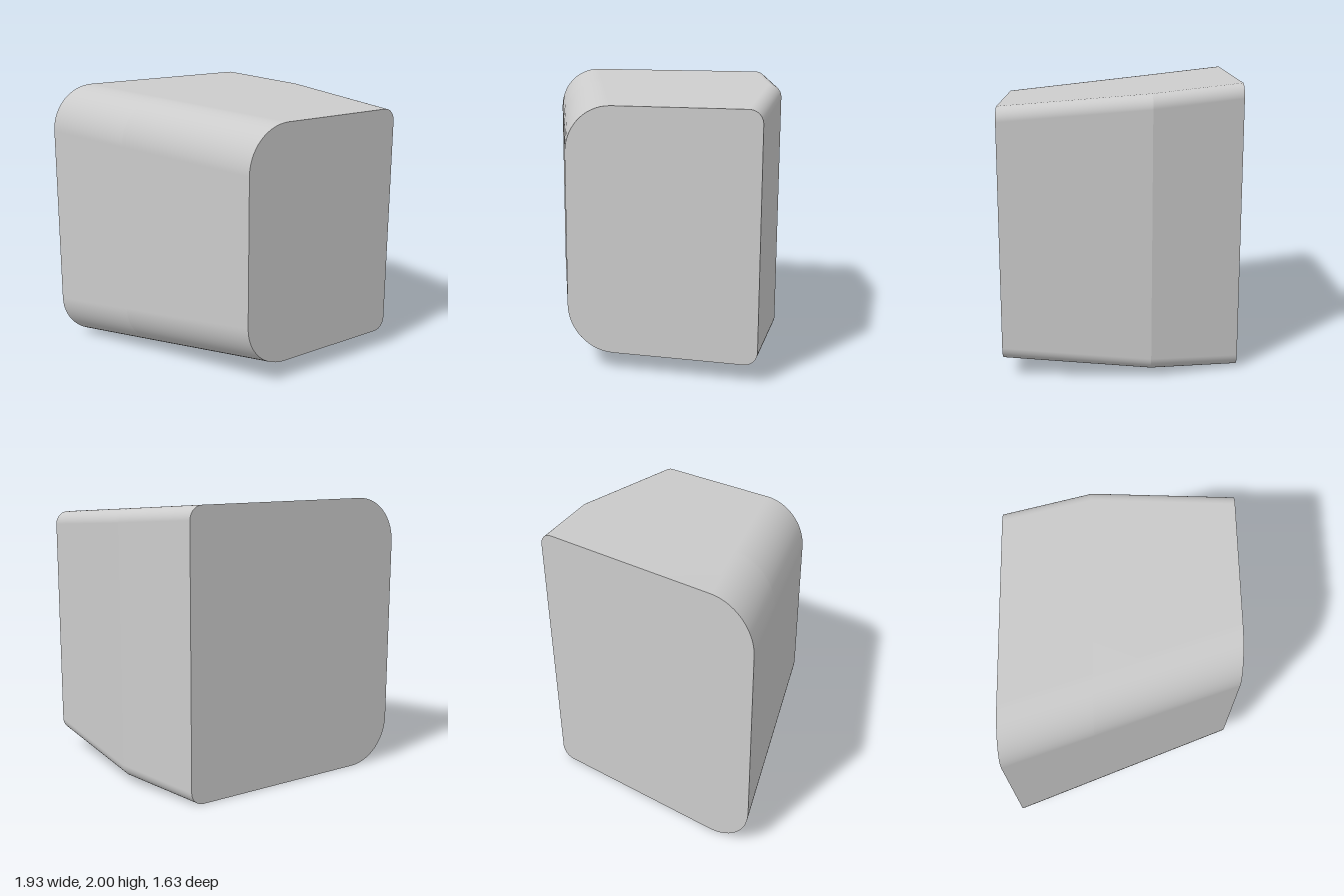
import * as THREE from 'three';

const ARC_STEPS = 14;

// Cross-sections from front to back; the left-hand corners in the outline are broad, the others tight
const sections = [
  { z: 0.815, x0: -0.38, x1: 0.965, y0: 0.135, y1: 1.87 },
  { z: -0.2, x0: -0.747, x1: 0.965, y0: 0.05, y1: 1.95 },
  { z: -0.815, x0: -0.97, x1: 0.78, y0: 0, y1: 2 },
];
const BROAD = 0.33;
const TIGHT = 0.095;

// Rounded rectangle, counter-clockwise seen from the front
function ring({ z, x0, x1, y0, y1 }) {
  const corners = [
    [x1 - TIGHT, y0 + TIGHT, TIGHT, -Math.PI / 2],
    [x1 - TIGHT, y1 - TIGHT, TIGHT, 0],
    [x0 + BROAD, y1 - BROAD, BROAD, Math.PI / 2],
    [x0 + BROAD, y0 + BROAD, BROAD, Math.PI],
  ];
  const points = [];
  for (const [cx, cy, r, start] of corners) {
    for (let i = 0; i <= ARC_STEPS; i++) {
      const a = start + (i / ARC_STEPS) * Math.PI / 2;
      points.push(new THREE.Vector3(cx + r * Math.cos(a), cy + r * Math.sin(a), z));
    }
  }
  return points;
}

function makeMesh(name, points, index, material) {
  const geometry = new THREE.BufferGeometry().setFromPoints(points);
  geometry.setIndex(index);
  geometry.computeVertexNormals();
  const mesh = new THREE.Mesh(geometry, material);
  mesh.name = name;
  return mesh;
}

// Wall between two rings, smooth around the corners
function band(name, front, back, material) {
  const n = front.length;
  const index = [];
  for (let i = 0; i < n; i++) {
    const j = (i + 1) % n;
    index.push(i, n + i, j, j, n + i, n + j);
  }
  return makeMesh(name, [...front, ...back], index, material);
}

// Flat end face
function cap(name, points, facesFront, material) {
  const index = [];
  for (let i = 1; i < points.length - 1; i++) {
    index.push(0, ...(facesFront ? [i, i + 1] : [i + 1, i]));
  }
  return makeMesh(name, points, index, material);
}

export function createModel() {
  const group = new THREE.Group();
  group.name = 'taperedBlock';
  const material = new THREE.MeshStandardMaterial({ color: 0xcccccc });
  const [front, middle, back] = sections.map(ring);
  group.add(
    cap('frontFace', front, true, material),
    band('frontWall', front, middle, material),
    band('rearWall', middle, back, material),
    cap('backFace', back, false, material),
  );
  return group;
}
